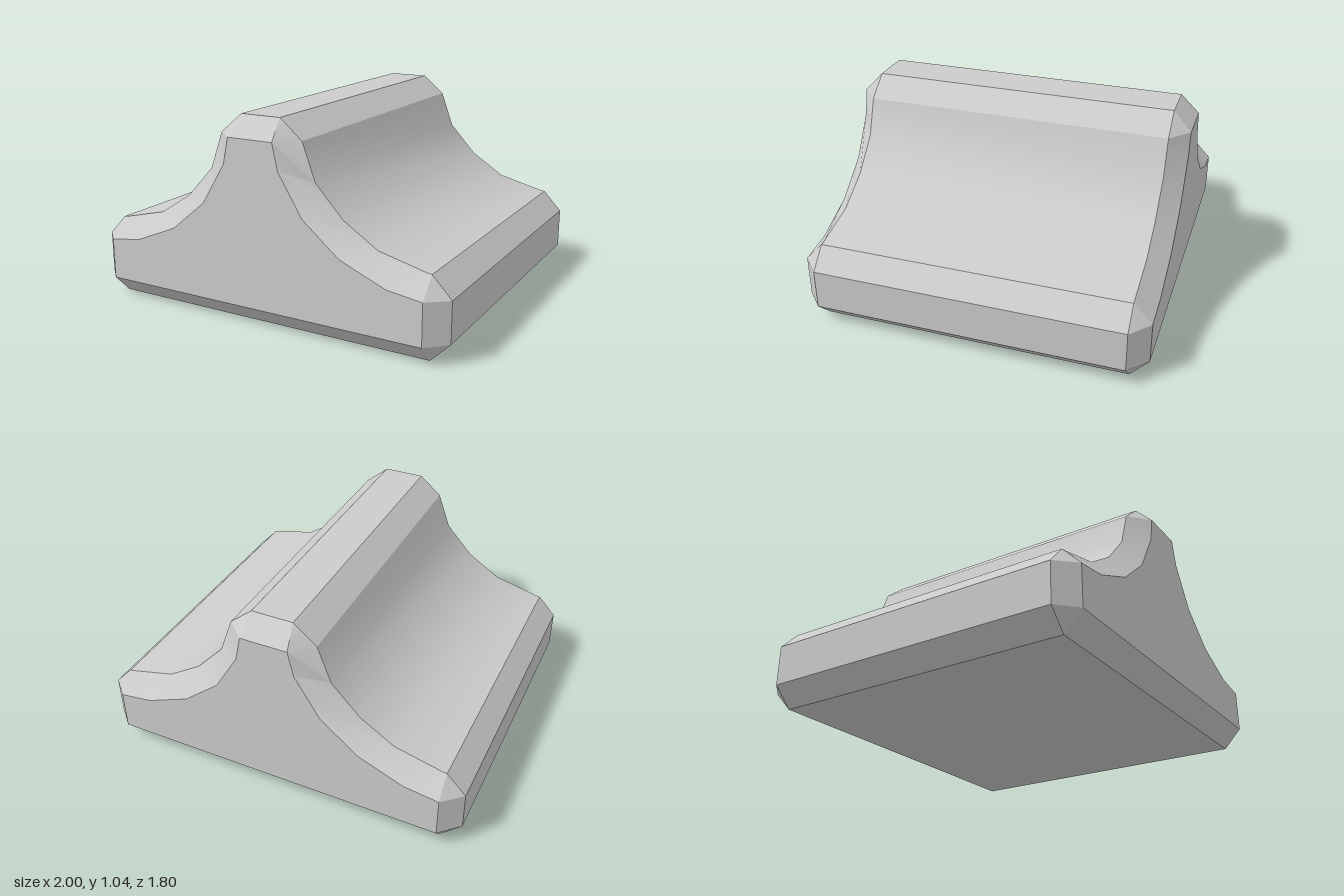
import * as THREE from 'three';
import { toCreasedNormals } from 'three/addons/utils/BufferGeometryUtils.js';

// Right half of the main cross-section, bottom to top
const OUTER = [[0.9, 0], [1, 0.1], [1, 0.31], [0.9, 0.415], [0.87, 0.42], [0.63, 0.48],
  [0.45, 0.595], [0.3, 0.755], [0.23, 0.945], [0.11, 1.045]];
// Matching points of the inset end face (repeated points close the chamfered corners)
const INNER = [[0.9, 0.1], [0.9, 0.1], [0.9, 0.315], [0.9, 0.315], [0.72, 0.34], [0.48, 0.44],
  [0.285, 0.6], [0.155, 0.81], [0.125, 0.945], [0.125, 0.945]];

// Full counter-clockwise loop from a half section
const mirrored = (half) => [...half, ...half.map(([x, y]) => [-x, y]).reverse()];

function ridgeGeometry() {
  const ring = (half, z) => mirrored(half).map(([x, y]) => new THREE.Vector3(x, y, z));
  const rings = [ring(INNER, 0.9), ring(OUTER, 0.805), ring(OUTER, -0.805), ring(INNER, -0.9)];
  const positions = [];
  const tri = (a, b, c) => {
    if (a.equals(b) || b.equals(c) || c.equals(a)) return;
    for (const p of [a, b, c]) positions.push(p.x, p.y, p.z);
  };

  // Long sides and end bevels
  const n = rings[0].length;
  for (let r = 0; r < 3; r++) {
    for (let i = 0; i < n; i++) {
      const j = (i + 1) % n;
      const [a, b, c, d] = [rings[r][i], rings[r][j], rings[r + 1][i], rings[r + 1][j]];
      tri(a, c, b);
      tri(b, c, d);
    }
  }

  // Flat end faces
  const unique = (loop) => loop.filter((p, i) => i === 0 || !p.equals(loop[i - 1]));
  const front = unique(rings[0]);
  const back = unique(rings[3]);
  const outline = front.map((p) => new THREE.Vector2(p.x, p.y));
  for (const [a, b, c] of THREE.ShapeUtils.triangulateShape(outline, [])) {
    tri(front[a], front[b], front[c]);
    tri(back[a], back[c], back[b]);
  }

  const geometry = new THREE.BufferGeometry();
  geometry.setAttribute('position', new THREE.Float32BufferAttribute(positions, 3));
  return toCreasedNormals(geometry, 0.45);
}

export function createModel() {
  const model = new THREE.Group();
  model.name = 'ridgeBlock';
  const body = new THREE.Mesh(ridgeGeometry(), new THREE.MeshStandardMaterial({ color: 0xcccccc }));
  body.name = 'chamferedRidge';
  model.add(body);
  return model;
}
